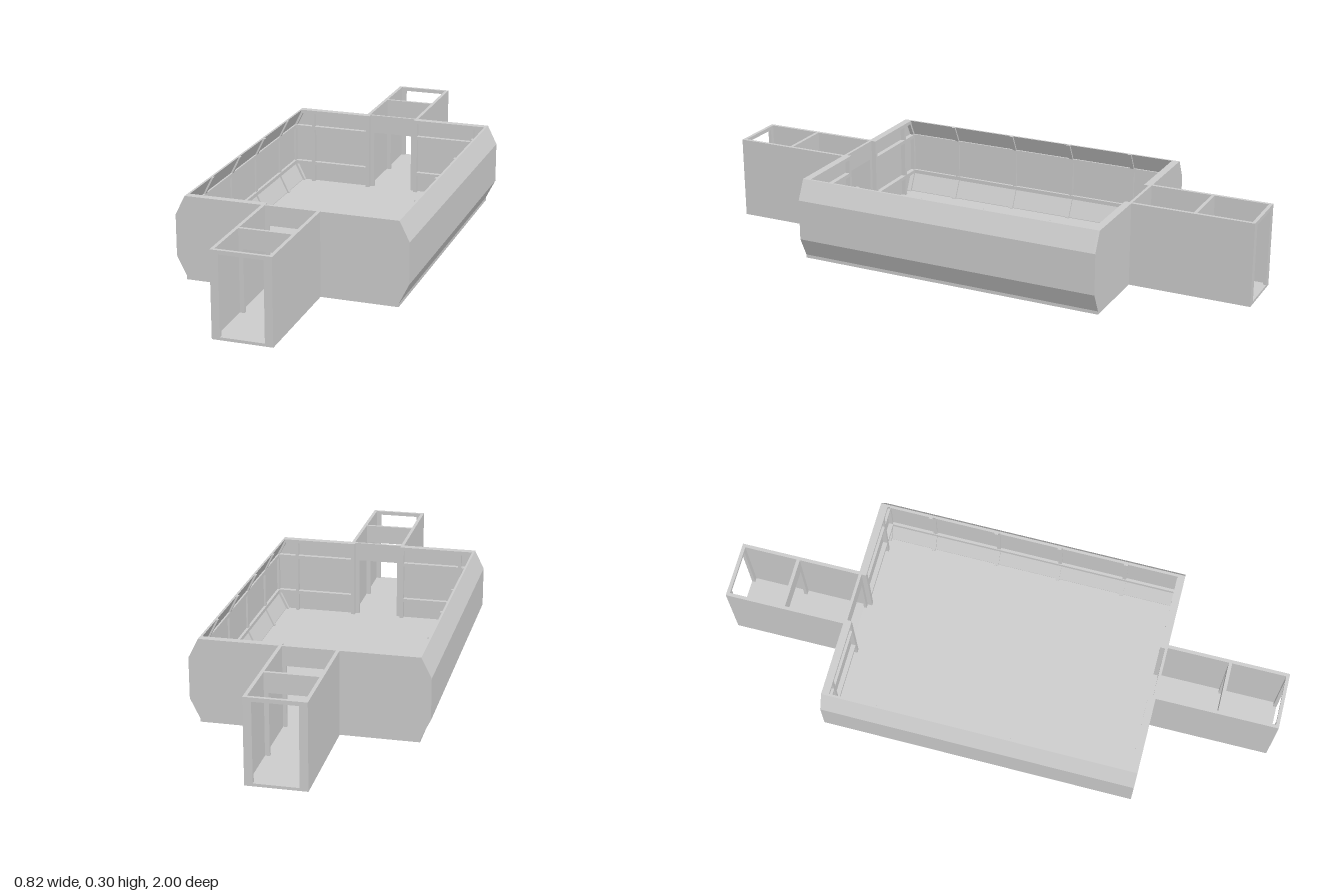
import * as THREE from 'three';

const material = new THREE.MeshStandardMaterial({ color: 0xcccccc, flatShading: true });

// Half cross-section of the hall, from floor to rim
const profile = [[0.377, 0], [0.377, 0.012], [0.412, 0.083], [0.412, 0.23], [0.377, 0.3]];
const halfLength = 0.565;

function add(parent, geometry, name) {
  const mesh = new THREE.Mesh(geometry, material);
  mesh.name = name;
  parent.add(mesh);
  return mesh;
}

function box(parent, name, x0, x1, y0, y1, z0, z1) {
  const mesh = add(parent, new THREE.BoxGeometry(x1 - x0, y1 - y0, z1 - z0), name);
  mesh.position.set((x0 + x1) / 2, (y0 + y1) / 2, (z0 + z1) / 2);
  return mesh;
}

function extrude(parent, name, points, hole, z0, z1) {
  const toVectors = (list) => list.map(([x, y]) => new THREE.Vector2(x, y));
  const shape = new THREE.Shape(toVectors(points));
  if (hole) shape.holes.push(new THREE.Path(toVectors(hole)));
  const geometry = new THREE.ExtrudeGeometry(shape, { depth: z1 - z0, bevelEnabled: false });
  geometry.translate(0, 0, z0);
  return add(parent, geometry, name);
}

const rect = (w, y0, y1) => [[-w, y0], [w, y0], [w, y1], [-w, y1]];

// Strip that follows the side profile, between two inward offsets
function strip(side, near, far) {
  const outer = profile.map(([x, y]) => [side * (x - near), y]);
  const inner = profile.map(([x, y]) => [side * (x - far), y]).reverse();
  return [...outer, ...inner];
}

function buildSide(side) {
  const group = new THREE.Group();
  group.name = 'sideWall';
  extrude(group, 'sidePanel', strip(side, 0, 0.008), null, -halfLength + 0.01, halfLength - 0.01);
  for (const z of [-0.375, -0.13, 0.105, 0.35])
    extrude(group, 'sideRib', strip(side, 0.007, 0.015), null, z - 0.007, z + 0.007);
  // Rails along the two bends
  for (const y of [0.083, 0.23]) {
    const x = side * 0.4;
    box(group, 'sideRail', x - 0.006, x + 0.006, y - 0.007, y + 0.007, -0.545, 0.545);
  }
  return group;
}

// End wall with a doorway and framed panels on its inner face
function buildEnd(direction) {
  const group = new THREE.Group();
  group.name = 'endWall';
  const outline = [...profile, ...profile.map(([x, y]) => [-x, y]).reverse()];
  extrude(group, 'endPanel', outline, rect(0.075, 0.01, 0.23), halfLength - 0.01, halfLength);
  for (const side of [-1, 1]) {
    const bar = (name, a, b, y0, y1) =>
      box(group, name, Math.min(side * a, side * b), Math.max(side * a, side * b), y0, y1, 0.538, 0.556);
    bar('doorPost', 0.09, 0.104, 0.01, 0.3);
    bar('wallPost', 0.316, 0.328, 0.01, 0.29);
    bar('topRail', 0.104, 0.372, 0.287, 0.3);
    bar('upperRail', 0.104, 0.402, 0.223, 0.236);
    bar('lowerRail', 0.104, 0.402, 0.077, 0.09);
    extrude(group, 'cornerRib', strip(side, 0.007, 0.017), null, 0.54, 0.556);
  }
  group.rotation.y = direction > 0 ? 0 : Math.PI;
  return group;
}

// Open-topped passage with a partition and an end frame
function buildCorridor(direction) {
  const group = new THREE.Group();
  group.name = 'corridor';
  box(group, 'corridorFloor', -0.102, 0.102, 0, 0.01, halfLength - 0.001, 1);
  for (const side of [-1, 1]) {
    const x = side * 0.097;
    box(group, 'corridorWall', x - 0.006, x + 0.006, 0, 0.3, halfLength - 0.003, 1);
  }
  extrude(group, 'partition', rect(0.094, 0.005, 0.3), rect(0.075, 0.01, 0.23), 0.784, 0.796);
  extrude(group, 'endFrame', rect(0.102, 0, 0.3), rect(0.075, 0.01, 0.286), 0.988, 1);
  group.rotation.y = (direction > 0 ? 0 : Math.PI) + 0.005;
  return group;
}

export function createModel() {
  const model = new THREE.Group();
  model.name = 'hallWithCorridors';
  box(model, 'hallFloor', -0.377, 0.377, 0, 0.01, -halfLength, halfLength);
  for (const sign of [-1, 1]) model.add(buildSide(sign), buildEnd(sign), buildCorridor(sign));
  return model;
}
